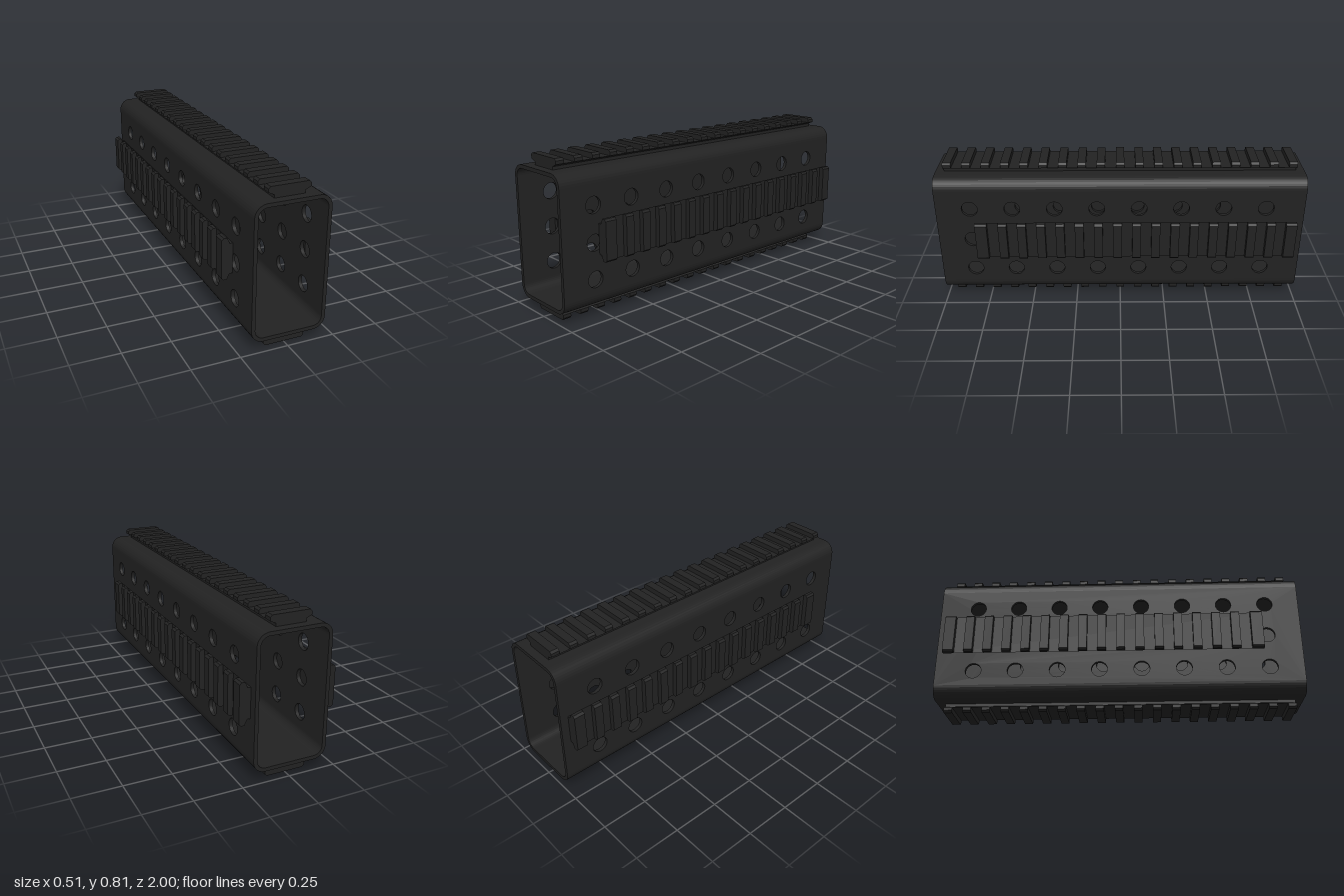
import * as THREE from 'three';

const W = 0.197, T = 0.0195, R = 0.064;   // tube half width, wall thickness, outer corner radius
const Y0 = 0.058, Y1 = 0.755, MID = (Y0 + Y1) / 2;

const metal = new THREE.MeshStandardMaterial({ color: 0x222222 });
metal.name = 'blackMetal';

// Extrude a closed outline of [x, y] points from z0 to z1
function prism(points, z0, z1) {
  const shape = new THREE.Shape(points.map(([x, y]) => new THREE.Vector2(x, y)));
  const g = new THREE.ExtrudeGeometry(shape, { depth: z1 - z0, bevelEnabled: false });
  return g.translate(0, 0, z0);
}

function add(parent, name, geometry) {
  const mesh = new THREE.Mesh(geometry, metal);
  mesh.name = name;
  parent.add(mesh);
  return mesh;
}

// Accessory rail standing on y = 0, running along z, with one tooth per span
function makeRail(name, spans) {
  const rail = new THREE.Group();
  rail.name = name;
  const base = [[-0.079, 0], [0.079, 0], [0.079, 0.016], [0.109, 0.03], [-0.109, 0.03], [-0.079, 0.016]];
  const tooth = [[-0.109, 0.03], [0.109, 0.03], [0.109, 0.047], [0.099, 0.058], [-0.099, 0.058], [-0.109, 0.047]];
  add(rail, 'railBase', prism(base, spans[0][0], spans[spans.length - 1][1]));
  for (const [a, b] of spans) add(rail, 'railTooth', prism(tooth, a, b));
  return rail;
}

export function createModel() {
  const model = new THREE.Group();
  model.name = 'railedHandguard';

  // Top and bottom channels with rounded corners
  const cap = new THREE.Shape();
  const ys = MID - Y0 - R, yo = MID - Y0;
  cap.moveTo(W, ys);
  cap.absarc(W - R, ys, R, 0, Math.PI / 2, false);
  cap.lineTo(-(W - R), yo);
  cap.absarc(-(W - R), ys, R, Math.PI / 2, Math.PI, false);
  cap.lineTo(-(W - T), ys);
  cap.absarc(-(W - R), ys, R - T, Math.PI, Math.PI / 2, true);
  cap.lineTo(W - R, yo - T);
  cap.absarc(W - R, ys, R - T, Math.PI / 2, 0, true);
  cap.closePath();
  const capGeo = new THREE.ExtrudeGeometry(cap, { depth: 2, bevelEnabled: false, curveSegments: 4 }).translate(0, 0, -1);
  add(model, 'topChannel', capGeo).position.y = MID;
  const bottom = add(model, 'bottomChannel', capGeo);
  bottom.position.y = MID;
  bottom.rotation.z = Math.PI;

  // Side walls with three rows of round vents
  const wall = new THREE.Shape([[-1, Y0 + R], [1, Y0 + R], [1, Y1 - R], [-1, Y1 - R]]
    .map(([z, y]) => new THREE.Vector2(z, y)));
  for (const y of [0.205, 0.394, 0.583]) {
    for (let i = 0; i < 8; i++) {
      const hole = new THREE.Path();
      hole.absarc(0.815 - i * 0.2293, y, 0.043, 0, Math.PI * 2, true);
      wall.holes.push(hole);
    }
  }
  const wallGeo = new THREE.ExtrudeGeometry(wall, { depth: T, bevelEnabled: false, curveSegments: 24 })
    .rotateY(-Math.PI / 2);
  add(model, 'leftWall', wallGeo).position.x = W;
  add(model, 'rightWall', wallGeo).position.x = -W + T;

  // Full-length rails above and below
  const longSpans = [];
  for (let i = 0; i < 19; i++) {
    const z = -0.955 + i * 0.1036;
    longSpans.push([z, z + 0.045]);
  }
  const topRail = makeRail('topRail', longSpans);
  topRail.position.y = Y1;
  const bottomRail = makeRail('bottomRail', longSpans);
  bottomRail.position.y = Y0;
  bottomRail.rotation.z = Math.PI;

  // Shorter side rails with wider end teeth
  const sideSpans = [[-0.957, -0.898]];
  for (let i = 0; i < 15; i++) {
    const z = -0.817 + i * 0.104;
    sideSpans.push([z - 0.0235, z + 0.0235]);
  }
  sideSpans.push([0.723, 0.787]);
  const leftRail = makeRail('leftRail', sideSpans);
  leftRail.position.set(W, MID, 0);
  leftRail.rotation.z = -Math.PI / 2;
  const rightRail = makeRail('rightRail', sideSpans);
  rightRail.position.set(-W, MID, 0);
  rightRail.rotation.z = Math.PI / 2;

  model.add(topRail, bottomRail, leftRail, rightRail);
  return model;
}
